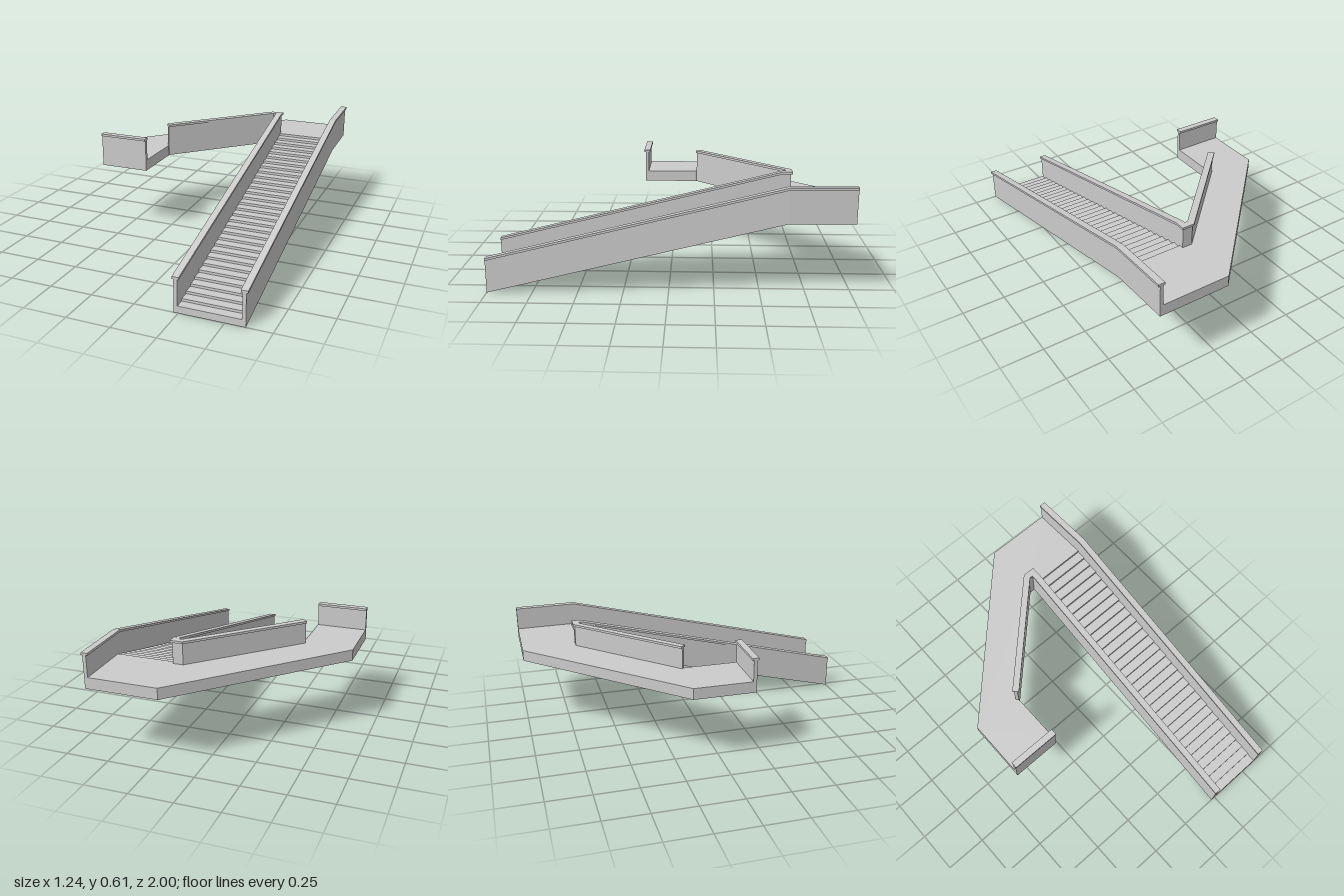
import * as THREE from 'three';

const material = new THREE.MeshStandardMaterial({ color: 0xcccccc, flatShading: true });
const BASE = 0.41;   // underside of the walkway
const FLOOR = 0.475; // walking surface
const KINK = -0.64;  // z where the slope levels out

function addMesh(parent, name, geometry) {
  const mesh = new THREE.Mesh(geometry, material);
  mesh.name = name;
  parent.add(mesh);
}

// Sweeps an upright rectangle along points [x, y, z] with mitred corners in plan.
function sweep(path, width, y0, y1) {
  const pos = [], index = [];
  const dir = (a, b) => new THREE.Vector2(b[0] - a[0], b[2] - a[2]).normalize();
  path.forEach((p, i) => {
    const d0 = dir(path[Math.max(i - 1, 0)], path[Math.max(i, 1)]);
    const last = path.length - 1;
    const d1 = dir(path[Math.min(i, last - 1)], path[Math.min(i + 1, last)]);
    const m = d0.clone().add(d1).normalize();
    const h = width / 2 / m.dot(d0);
    const nx = -m.y * h, nz = m.x * h;
    for (const [s, y] of [[-1, y0], [1, y0], [1, y1], [-1, y1]]) {
      pos.push(p[0] + s * nx, p[1] + y, p[2] + s * nz);
    }
    if (i < last) {
      for (let j = 0; j < 4; j++) {
        const a = i * 4 + j, b = i * 4 + (j + 1) % 4;
        index.push(a, a + 4, b, b, a + 4, b + 4);
      }
    }
  });
  const e = (path.length - 1) * 4;
  index.push(0, 1, 2, 0, 2, 3, e, e + 2, e + 1, e, e + 3, e + 2);
  const g = new THREE.BufferGeometry();
  g.setAttribute('position', new THREE.Float32BufferAttribute(pos, 3));
  g.setIndex(index);
  const flat = g.toNonIndexed();
  flat.computeVertexNormals();
  return flat;
}

// Parapet wall with a wider coping on top.
function parapet(name, path) {
  const group = new THREE.Group();
  group.name = name;
  addMesh(group, name + 'Panel', sweep(path, 0.02, 0, 0.19));
  addMesh(group, name + 'Coping', sweep(path, 0.038, 0.187, 0.2));
  return group;
}

function stairFlight() {
  const steps = 30, start = 1, end = -0.66, first = 0.04;
  const run = (start - end) / steps, rise = (FLOOR - first) / steps;
  const s = new THREE.Shape();
  s.moveTo(-start, 0);
  s.lineTo(-KINK, BASE);
  s.lineTo(-end, BASE);
  s.lineTo(-end, FLOOR);
  for (let i = steps - 1; i >= 0; i--) {
    const x = -start + i * run, y = first + i * rise;
    s.lineTo(x + run, y);
    s.lineTo(x, y);
  }
  const g = new THREE.ExtrudeGeometry(s, { depth: 0.365, bevelEnabled: false });
  g.rotateY(Math.PI / 2);
  g.translate(0.235, 0, 0);
  return g;
}

function walkwaySlab() {
  const outline = [
    [0.185, -1], [0.59, -1], [0.6, -0.66], [0.235, -0.66], [0.235, -0.675], [0.19, -0.675],
    [-0.335, -0.155], [-0.328, -0.14], [-0.328, 0.18], [-0.62, 0.18], [-0.62, -0.175],
  ];
  const s = new THREE.Shape(outline.map(([x, z]) => new THREE.Vector2(x, -z)));
  const g = new THREE.ExtrudeGeometry(s, { depth: FLOOR - BASE, bevelEnabled: false });
  g.rotateX(-Math.PI / 2);
  g.translate(0, BASE, 0);
  return g;
}

export function createModel() {
  const model = new THREE.Group();
  model.name = 'stairwayWithWalkway';

  addMesh(model, 'stairFlight', stairFlight());
  addMesh(model, 'walkwaySlab', walkwaySlab());

  // Outer parapet: up the stairs and along the landing
  model.add(parapet('outerParapet', [[0.6, 0, 1], [0.6, BASE, KINK], [0.589, BASE, -1]]));

  // Inner parapet: up the stairs, round the corner, along the diagonal walkway
  model.add(parapet('innerParapet', [
    [0.235, 0, 1], [0.235, BASE, KINK], [0.235, BASE, -0.675],
    [0.19, BASE, -0.675], [-0.335, BASE, -0.155],
  ]));

  // Parapet closing the far end of the walkway
  model.add(parapet('endParapet', [[-0.62, BASE, 0.17], [-0.328, BASE, 0.17]]));

  return model;
}
